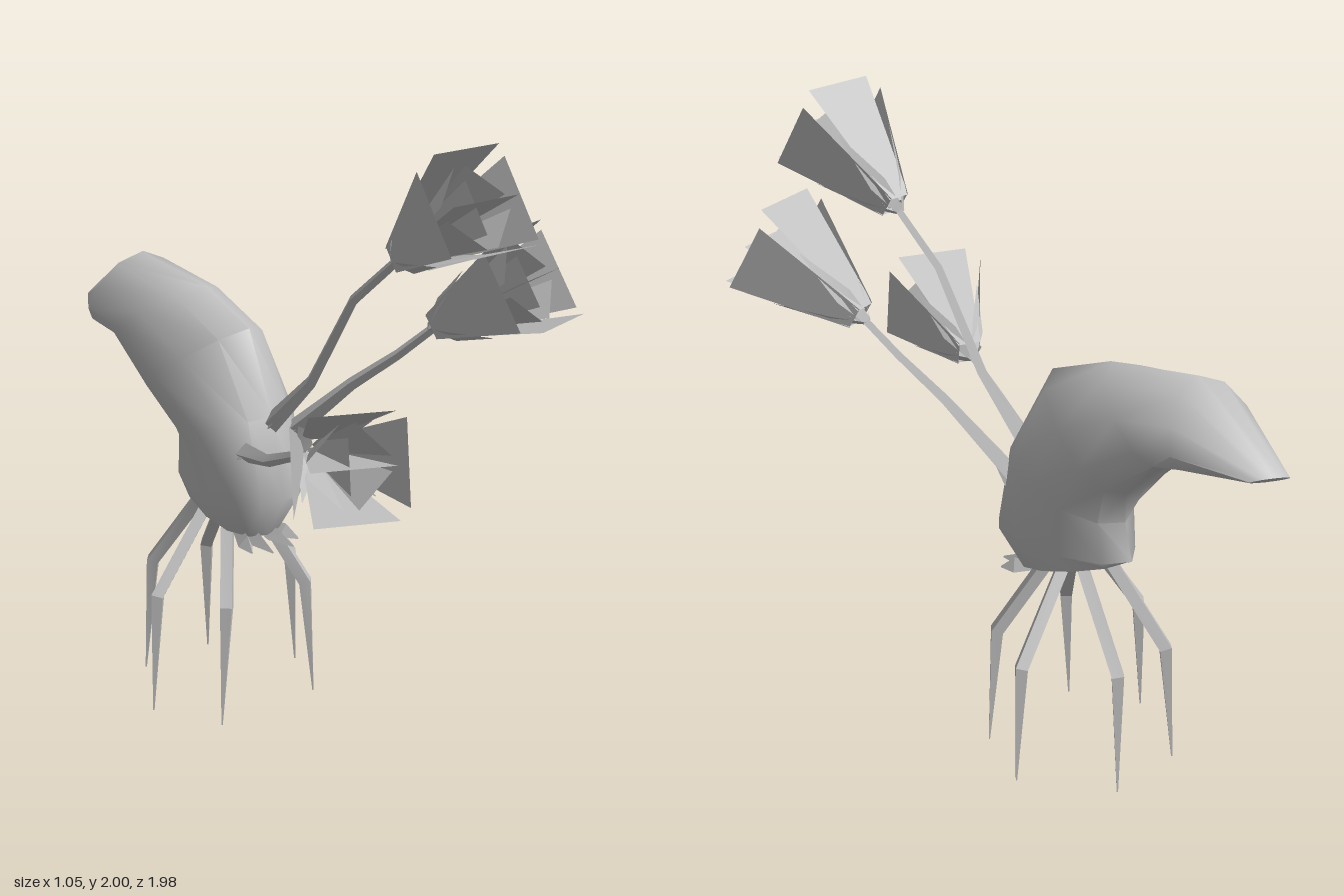
import * as THREE from 'three';
import { toCreasedNormals } from 'three/addons/utils/BufferGeometryUtils.js';

const V = (x, y, z) => new THREE.Vector3(x, y, z);
const CX = 0.035; // the body's middle plane

// Skin a list of equal rings (arrays of Vector3) and close both ends
function loft(rings, crease) {
  const n = rings[0].length, pos = [], idx = [];
  rings.flat().forEach((p) => pos.push(p.x, p.y, p.z));
  for (let i = 0; i < rings.length - 1; i++) {
    for (let j = 0; j < n; j++) {
      const a = i * n + j, b = i * n + (j + 1) % n;
      idx.push(a, b, a + n, b, b + n, a + n);
    }
  }
  const last = (rings.length - 1) * n;
  for (let j = 1; j < n - 1; j++) {
    idx.push(0, j + 1, j, last, last + j, last + j + 1);
  }
  const g = new THREE.BufferGeometry();
  g.setAttribute('position', new THREE.Float32BufferAttribute(pos, 3));
  g.setIndex(idx);
  return toCreasedNormals(g, crease);
}

// Faceted tapering limb through points with a radius at each
function limb(points, radii, sides) {
  const rings = points.map((p, i) => {
    const t = points[Math.min(i + 1, points.length - 1)].clone()
      .sub(points[Math.max(i - 1, 0)]).normalize();
    const n1 = t.clone().cross(V(1, 0, 0)).normalize();
    const n2 = t.clone().cross(n1);
    return Array.from({ length: sides }, (_, j) => {
      const a = (j / sides) * Math.PI * 2;
      return p.clone().addScaledVector(n1, Math.cos(a) * radii[i])
        .addScaledVector(n2, Math.sin(a) * radii[i]);
    });
  });
  return loft(rings, 0.3);
}

// Flat blade along +z, rising from the axis: rows of [distance, radius, half width]
function blade(rows, angle) {
  const pos = [], idx = [];
  rows.forEach(([z, r, w]) => pos.push(-w, r, z, w, r, z));
  for (let i = 0; i < rows.length - 1; i++) {
    const a = i * 2;
    idx.push(a, a + 2, a + 1, a + 1, a + 2, a + 3);
  }
  const g = new THREE.BufferGeometry();
  g.setAttribute('position', new THREE.Float32BufferAttribute(pos, 3));
  g.setIndex(idx);
  g.rotateZ(angle);
  return toCreasedNormals(g, 0.2);
}

export function createModel() {
  const model = new THREE.Group();
  const grey = new THREE.MeshStandardMaterial({ color: 0xc0c0c0, side: THREE.DoubleSide });
  grey.name = 'grey';
  const add = (geometry, name, parent = model) => {
    const m = new THREE.Mesh(geometry, grey);
    m.name = name;
    parent.add(m);
    return m;
  };

  // Curved body: front z,y / back z,y / half width / middle x /
  // shift of the widest point towards the back / sideways slant
  const sections = [
    [-0.01, 0.63, -0.41, 0.745, 0.125, CX, -0.2, 0],
    [0.07, 0.77, -0.43, 0.755, 0.155, CX, -0.3, 0],
    [0.015, 1.04, -0.4, 0.88, 0.17, CX, -0.2, 0],
    [-0.1, 1.3, -0.48, 1.03, 0.177, CX, 0.4, 0],
    [-0.33, 1.39, -0.63, 1.19, 0.175, CX, 0.6, 0],
    [-0.66, 1.44, -0.74, 1.2, 0.155, CX, 0.6, 0.25],
    [-0.965, 1.235, -0.94, 1.215, 0.05, 0.08, 0, 0.65],
  ];
  const rings = sections.map(([fz, fy, bz, by, w, x, shift, slant]) =>
    Array.from({ length: 12 }, (_, j) => {
      const a = (j / 12) * Math.PI * 2, s = Math.sin(a);
      const c = (Math.cos(a) - shift * s * s) / 2;
      return V(x + s * w, (fy + by) / 2 + c * (fy - by),
        (fz + bz) / 2 + c * (fz - bz) + slant * s * w);
    }));
  add(loft(rings, 0.9), 'body');

  // Three pairs of thin pointed legs: hip, knee, foot as [offset x, y, z]
  const legs = {
    frontLeg: [[0.06, 0.68, -0.14], [0.165, 0.42, -0.015], [0.195, 0.015, -0.005]],
    middleLeg: [[0.07, 0.71, -0.22], [0.28, 0.42, -0.23], [0.305, 0.015, -0.23]],
    backLeg: [[0.05, 0.73, -0.26], [0.115, 0.42, -0.48], [0.135, 0.015, -0.505]],
  };
  for (const side of [-1, 1]) {
    for (const [name, pts] of Object.entries(legs)) {
      const path = pts.map(([x, y, z]) => V(CX + side * x, y, z));
      add(limb(path, [0.026, 0.027, 0.003], 4), name);
    }
    // Small mouthparts under the front edge
    for (const [x, tip] of [[0.035, 0.07], [0.08, 0.03]]) {
      add(limb([V(CX + side * x * 0.6, 0.645, -0.12), V(CX + side * x, 0.62, -0.02),
        V(CX + side * x * 1.2, 0.605, tip)], [0.012, 0.028, 0.003], 3), 'mouthpart');
    }
  }

  // Blossoms on bent stems: stem path, then the middle of the blossom's mouth
  const blossoms = [
    [[V(0.04, 0.98, -0.03), V(0.035, 1.2, 0.2), V(0.03, 1.5, 0.39), V(0.03, 1.67, 0.59)],
      V(0.03, 1.885, 0.91)],
    [[V(0.12, 0.93, -0.04), V(0.2, 1.16, 0.2), V(0.25, 1.28, 0.35), V(0.295, 1.4, 0.48)],
      V(0.38, 1.61, 0.82)],
    [[V(-0.05, 0.93, -0.03), V(-0.11, 0.97, 0.17), V(-0.16, 1.04, 0.33), V(-0.205, 1.115, 0.5)],
      V(-0.37, 1.2, 0.85)],
  ];
  const longPetal = [[-0.01, 0.035, 0.04], [0.39, 0.15, 0.122]];
  const sidePetal = [[-0.01, 0.035, 0.04], [0.35, 0.165, 0.125]];
  const inner = [[0, 0.015, 0.02], [0.34, 0.1, 0.07]];
  const sepal = [[-0.04, 0.01, 0.012], [0.05, 0.07, 0.028], [0.22, 0.15, 0.001]];
  for (const [path, mouth] of blossoms) {
    add(limb(path, [0.035, 0.02, 0.016, 0.014], 4), 'stem');
    // Pointed collar where the stem leaves the body
    add(limb([path[0], path[0].clone().lerp(path[1], 0.35)], [0.05, 0.012], 3), 'stemCollar');

    const flower = new THREE.Group();
    flower.name = 'blossom';
    flower.position.copy(path[3]);
    flower.lookAt(mouth);
    model.add(flower);
    for (let i = 0; i < 4; i++) {
      const a = (i * Math.PI) / 2;
      add(blade(i % 2 ? sidePetal : longPetal, a), 'outerPetal', flower);
      add(blade(inner, a + Math.PI / 4), 'innerPetal', flower);
      add(blade(sepal, a + Math.PI / 4), 'sepal', flower);
    }
    // Crossed flat leaves through the heart of the blossom
    add(blade([[0, 0, 0.04], [0.385, 0, 0.122]], 0), 'heartLeaf', flower);
    add(blade([[0, 0, 0.03], [0.34, 0, 0.08]], Math.PI / 2), 'heartLeaf', flower);
  }
  return model;
}
